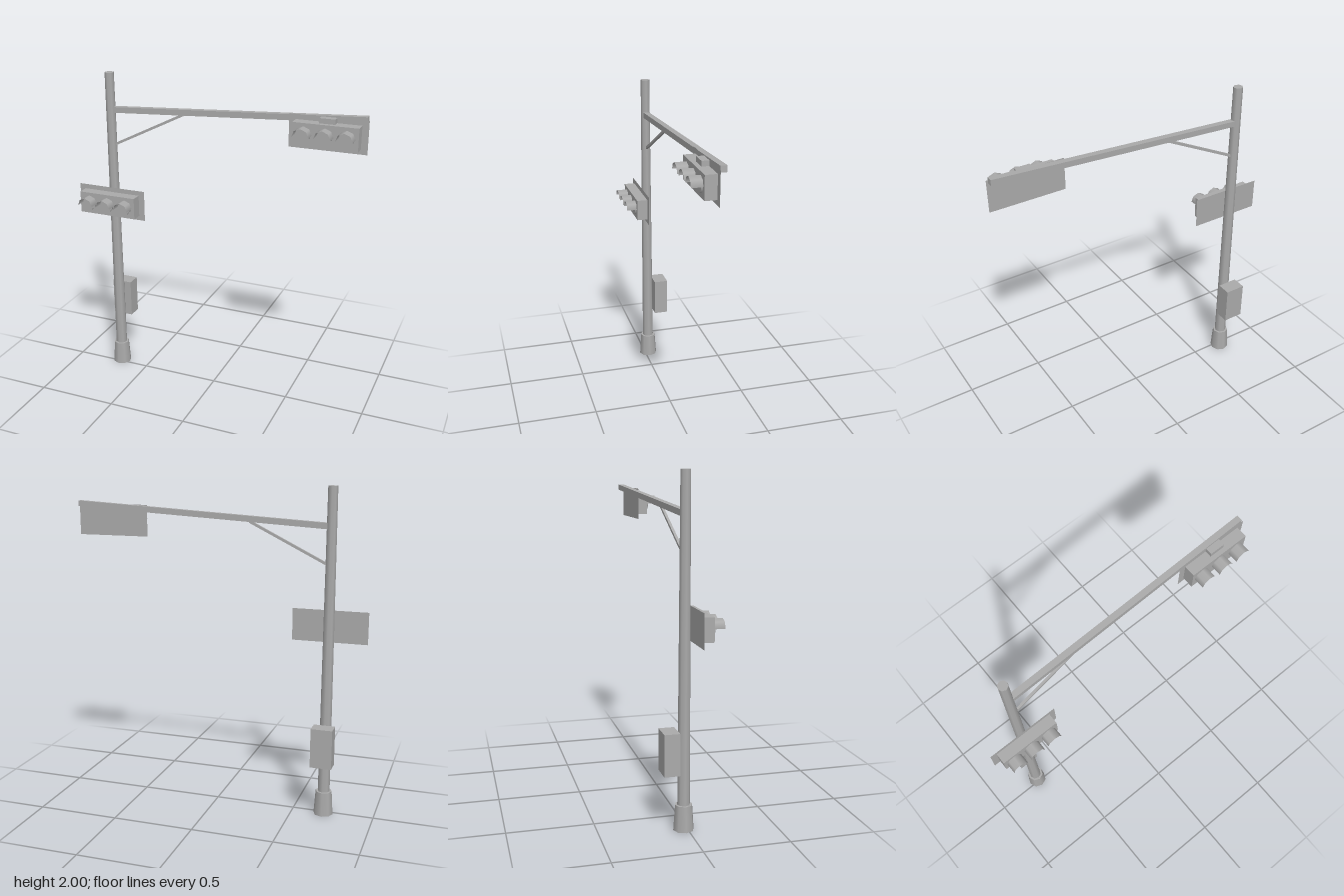
import * as THREE from 'three';

export function createModel() {
  const model = new THREE.Group();
  model.name = 'trafficSignalMast';
  const steel = new THREE.MeshStandardMaterial({ color: 0xaaaaaa });
  steel.name = 'galvanised grey';
  const thinSteel = new THREE.MeshStandardMaterial({ color: 0xaaaaaa, side: THREE.DoubleSide });
  thinSteel.name = 'galvanised grey sheet';

  const POLE_X = -0.694, POLE_Z = -0.022;

  function add(parent, name, geometry, x, y, z, material = steel) {
    const mesh = new THREE.Mesh(geometry, material);
    mesh.name = name;
    mesh.position.set(x, y, z);
    parent.add(mesh);
    return mesh;
  }

  // Square bar between two points in the plane of the arm
  function bar(name, x0, y0, x1, y1, height, depth) {
    const length = Math.hypot(x1 - x0, y1 - y0);
    const mesh = add(model, name, new THREE.BoxGeometry(length, height, depth),
      (x0 + x1) / 2, (y0 + y1) / 2, POLE_Z - 0.001);
    mesh.rotation.z = Math.atan2(y1 - y0, x1 - x0);
  }

  // Tapered pole with a flared foot, open underneath
  const poleProfile = [[0.037, 0.14], [0.029, 2], [0, 2]];
  const footProfile = [[0.06, 0], [0.05, 0.15], [0.036, 0.15]];
  // Repeated profile points keep the rims sharp
  const lathe = (points) => {
    const sharp = points.flatMap(([r, y], i) =>
      i > 0 && i < points.length - 1
        ? [new THREE.Vector2(r, y - 0.0005), new THREE.Vector2(r, y)]
        : [new THREE.Vector2(r, y)]);
    return new THREE.LatheGeometry(sharp, 8);
  };
  add(model, 'pole', lathe(poleProfile), POLE_X, 0, POLE_Z);
  add(model, 'poleFoot', lathe(footProfile), POLE_X, 0, POLE_Z);

  // Mast arm and its diagonal brace
  bar('mastArm', POLE_X, 1.771, 0.905, 1.864, 0.035, 0.037);
  bar('armBrace', -0.68, 1.547, -0.205, 1.783, 0.015, 0.015);

  // Control cabinet behind the pole
  add(model, 'controlCabinet', new THREE.BoxGeometry(0.13, 0.242, 0.09), POLE_X, 0.463, -0.106);

  // Horizontal three-lamp signal; its origin is the middle of the backplate
  function signal(name, x, y, z) {
    const head = new THREE.Group();
    head.name = name;
    head.position.set(x, y, z);
    add(head, 'backplate', new THREE.PlaneGeometry(0.457, 0.194), 0, 0, 0, thinSteel);
    add(head, 'housing', new THREE.BoxGeometry(0.38, 0.135, 0.068), 0, 0, 0.035);
    for (const dx of [-0.124, 0, 0.124]) {
      // Lens disc
      const lens = new THREE.CylinderGeometry(0.044, 0.044, 0.014, 8);
      lens.rotateY(Math.PI / 8).rotateX(Math.PI / 2);
      add(head, 'lens', lens, dx, 0, 0.073);
      // Half-round hood over the lens
      const hood = new THREE.CylinderGeometry(0.049, 0.049, 0.066, 4, 1, true, Math.PI / 2, Math.PI);
      hood.rotateX(Math.PI / 2);
      add(head, 'hood', hood, dx, 0, 0.101, thinSteel);
    }
    model.add(head);
    return head;
  }

  signal('poleSignal', POLE_X + 0.001, 1.177, 0.017);
  const armSignal = signal('armSignal', 0.688, 1.765, -0.003);
  add(armSignal, 'mountingClamp', new THREE.BoxGeometry(0.092, 0.034, 0.042), 0.003, 0.08, 0.021);

  return model;
}
